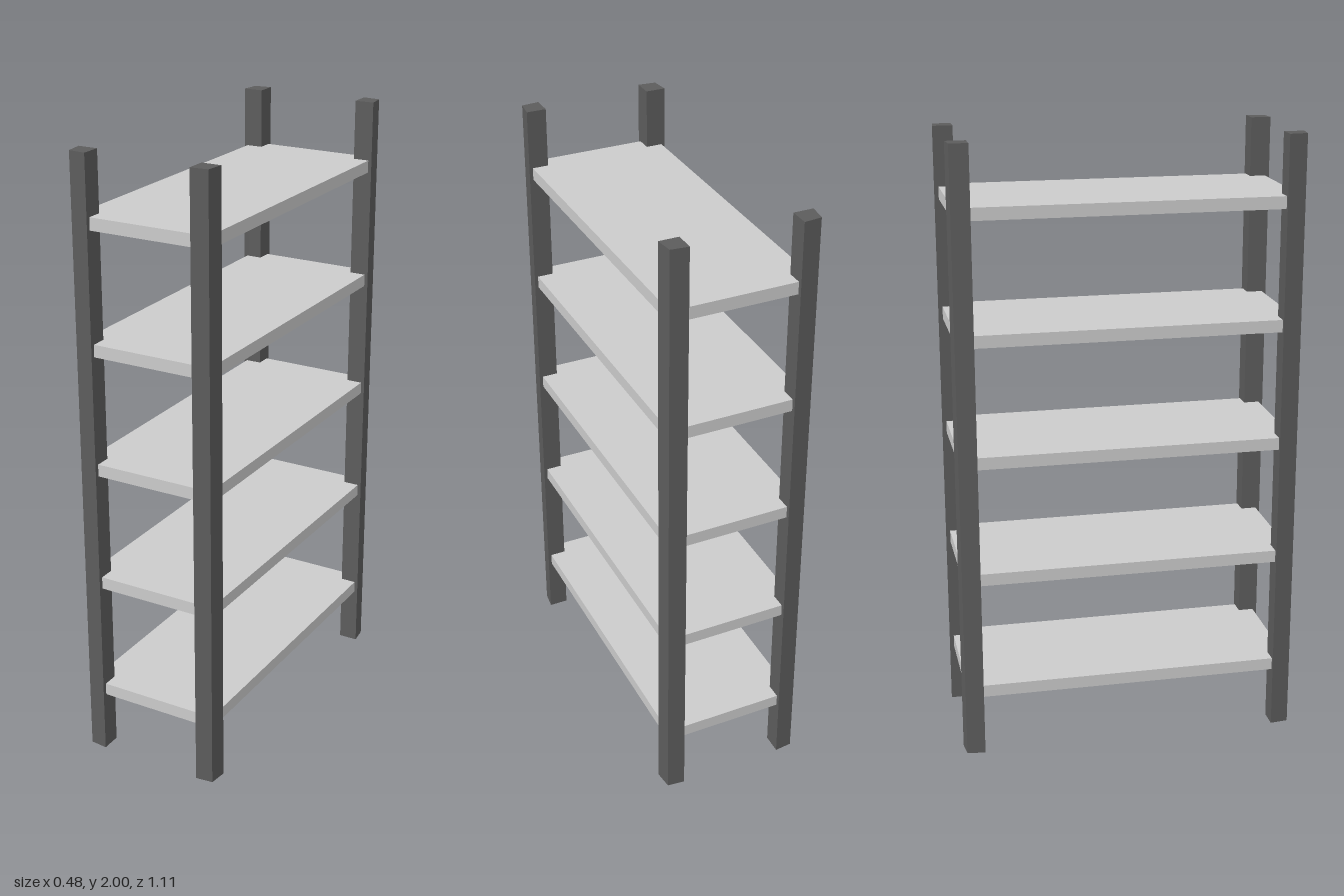
import * as THREE from 'three';

const shelfMaterial = new THREE.MeshStandardMaterial({ color: 0xcccccc });
const postMaterial = new THREE.MeshStandardMaterial({ color: 0x5c5c5c });

// Corner post: square inner corner, slightly tapering outer faces
function createPost(sx, sz) {
  const section = [[0.175, 0.491], [0.239, 0.491], [0.232, 0.55], [0.175, 0.556]];
  const shape = new THREE.Shape(section.map(([x, z]) => new THREE.Vector2(sx * x, -sz * z)));
  const geometry = new THREE.ExtrudeGeometry(shape, { depth: 2, bevelEnabled: false });
  geometry.rotateX(-Math.PI / 2);
  const post = new THREE.Mesh(geometry, postMaterial);
  post.name = (sz > 0 ? 'front' : 'back') + (sx > 0 ? 'Left' : 'Right') + 'Post';
  return post;
}

export function createModel() {
  const model = new THREE.Group();
  model.name = 'shelvingUnit';

  // Four posts
  for (const sx of [-1, 1]) {
    for (const sz of [-1, 1]) model.add(createPost(sx, sz));
  }

  // Five evenly spaced shelves
  const shelfGeometry = new THREE.BoxGeometry(0.455, 0.04, 1.084);
  for (let i = 0; i < 5; i++) {
    const shelf = new THREE.Mesh(shelfGeometry, shelfMaterial);
    shelf.name = `shelf${i + 1}`;
    shelf.position.y = 0.218 + i * 0.3925;
    model.add(shelf);
  }
  return model;
}
